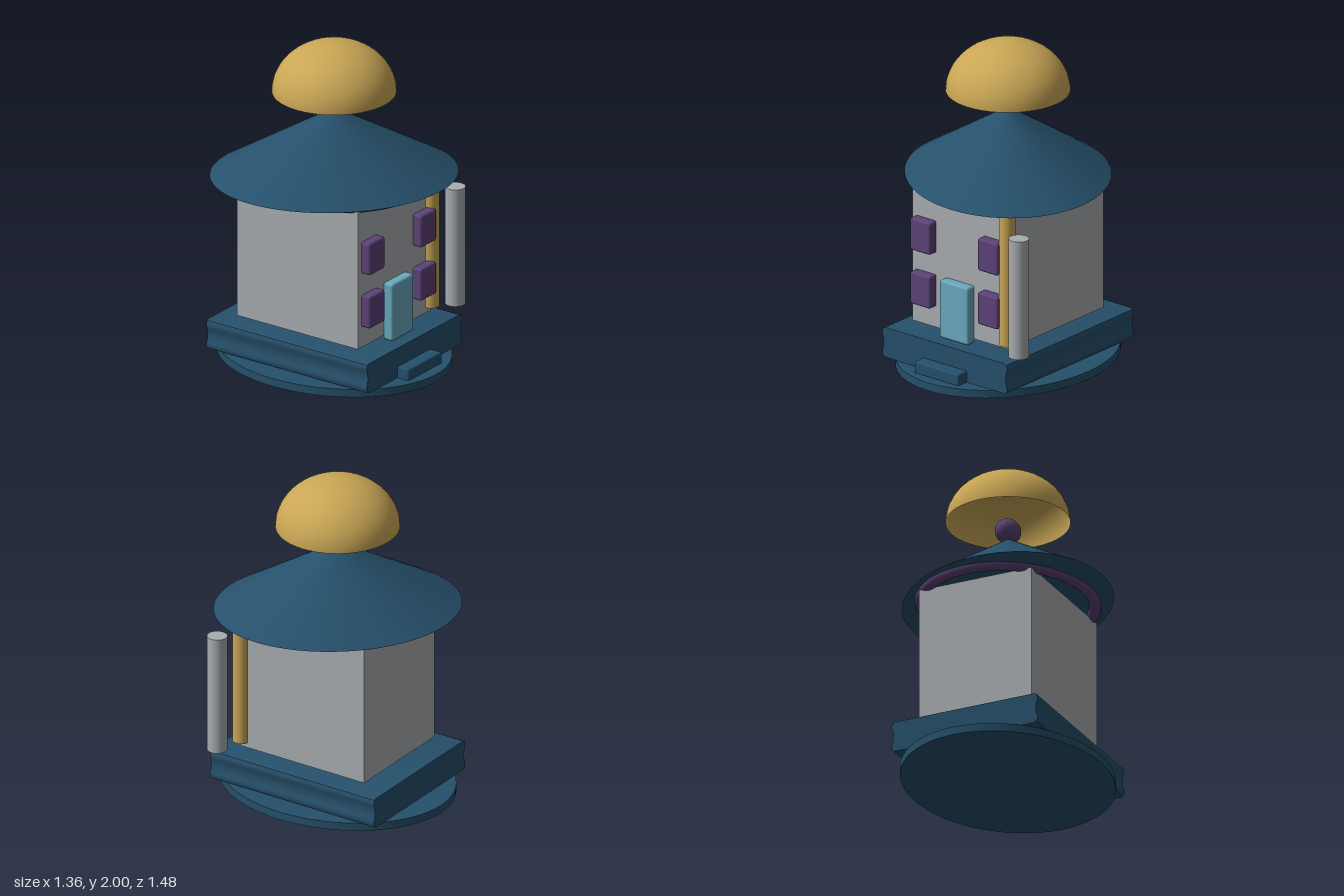
import * as THREE from 'three';
import { toCreasedNormals } from 'three/addons/utils/BufferGeometryUtils.js';
import { RoundedBoxGeometry } from 'three/addons/geometries/RoundedBoxGeometry.js';

function material(name, color, side = THREE.FrontSide) {
  const m = new THREE.MeshStandardMaterial({ color, side });
  m.name = name;
  return m;
}

export function createModel() {
  const model = new THREE.Group();
  model.name = 'tower';
  const blue = material('deep blue', 0x26506b);
  const gold = material('gold', 0xc9a655, THREE.DoubleSide);
  const purple = material('purple', 0x5c4278);
  const aqua = material('pale blue', 0x69a8be);
  const grey = material('stone grey', 0xa8adb1);

  function add(name, geometry, mat, x, y, z) {
    const mesh = new THREE.Mesh(geometry, mat);
    mesh.name = name;
    mesh.position.set(x, y, z);
    model.add(mesh);
    return mesh;
  }

  // Oval ground slab
  add('groundSlab', new THREE.CylinderGeometry(1, 1, 0.05, 64), blue, 0, 0.025, 0).scale.set(0.612, 1, 0.74);

  // Plinth: moulded profile with a slight waist, extruded front to back
  const side = [[0.455, 0.05], [0.473, 0.056], [0.48, 0.075], [0.48, 0.09], [0.472, 0.112],
    [0.468, 0.145], [0.472, 0.178], [0.48, 0.2], [0.48, 0.215], [0.473, 0.233], [0.455, 0.24]];
  const outline = [...side, ...side.map(([x, y]) => [-x, y]).reverse()];
  const profile = new THREE.Shape(outline.map(([x, y]) => new THREE.Vector2(x, y)));
  const plinth = new THREE.ExtrudeGeometry(profile, { depth: 1.17, bevelEnabled: false });
  add('plinth', toCreasedNormals(plinth, 0.7), blue, 0, 0, -0.585);

  // Door step
  add('step', new RoundedBoxGeometry(0.34, 0.08, 0.165, 2, 0.012), blue, 0, 0.081, 0.583);

  // Walls
  add('walls', new THREE.BoxGeometry(0.74, 0.877, 0.88), grey, 0, 0.7035, 0);

  // Door and windows
  add('door', new RoundedBoxGeometry(0.22, 0.365, 0.07, 2, 0.015), aqua, 0, 0.4225, 0.47);
  for (const x of [-0.26, 0.26]) {
    for (const y of [0.5, 0.842]) {
      add('window', new RoundedBoxGeometry(0.156, 0.205, 0.07, 2, 0.015), purple, x, y, 0.47);
    }
  }

  // Corner post and free-standing column
  add('cornerPost', new THREE.CylinderGeometry(0.051, 0.051, 0.845, 32), gold, 0.364, 0.72, 0.443);
  add('column', new THREE.CylinderGeometry(0.061, 0.061, 0.75, 32), grey, 0.511, 0.655, 0.514);

  // Oval ring under the eaves
  const ring = new THREE.TorusGeometry(1, 0.07, 16, 64);
  ring.rotateX(Math.PI / 2);
  add('eavesRing', ring, purple, 0, 1.165, 0).scale.set(0.505, 0.52, 0.556);

  // Oval conical roof, turned an eighth of a circle
  const roof = add('roof', new THREE.ConeGeometry(1, 0.42, 64), blue, 0, 1.375, 0);
  roof.scale.set(0.612, 1, 0.74);
  roof.rotation.y = Math.PI / 4;

  // Finial ball and hollow dome
  add('finial', new THREE.SphereGeometry(1, 32, 24), purple, 0, 1.635, 0).scale.set(0.075, 0.075, 0.091);
  const dome = new THREE.SphereGeometry(1, 48, 20, 0, Math.PI * 2, 0, Math.PI / 2);
  add('dome', dome, gold, 0, 1.69, 0).scale.set(0.37, 0.31, 0.37);

  return model;
}
